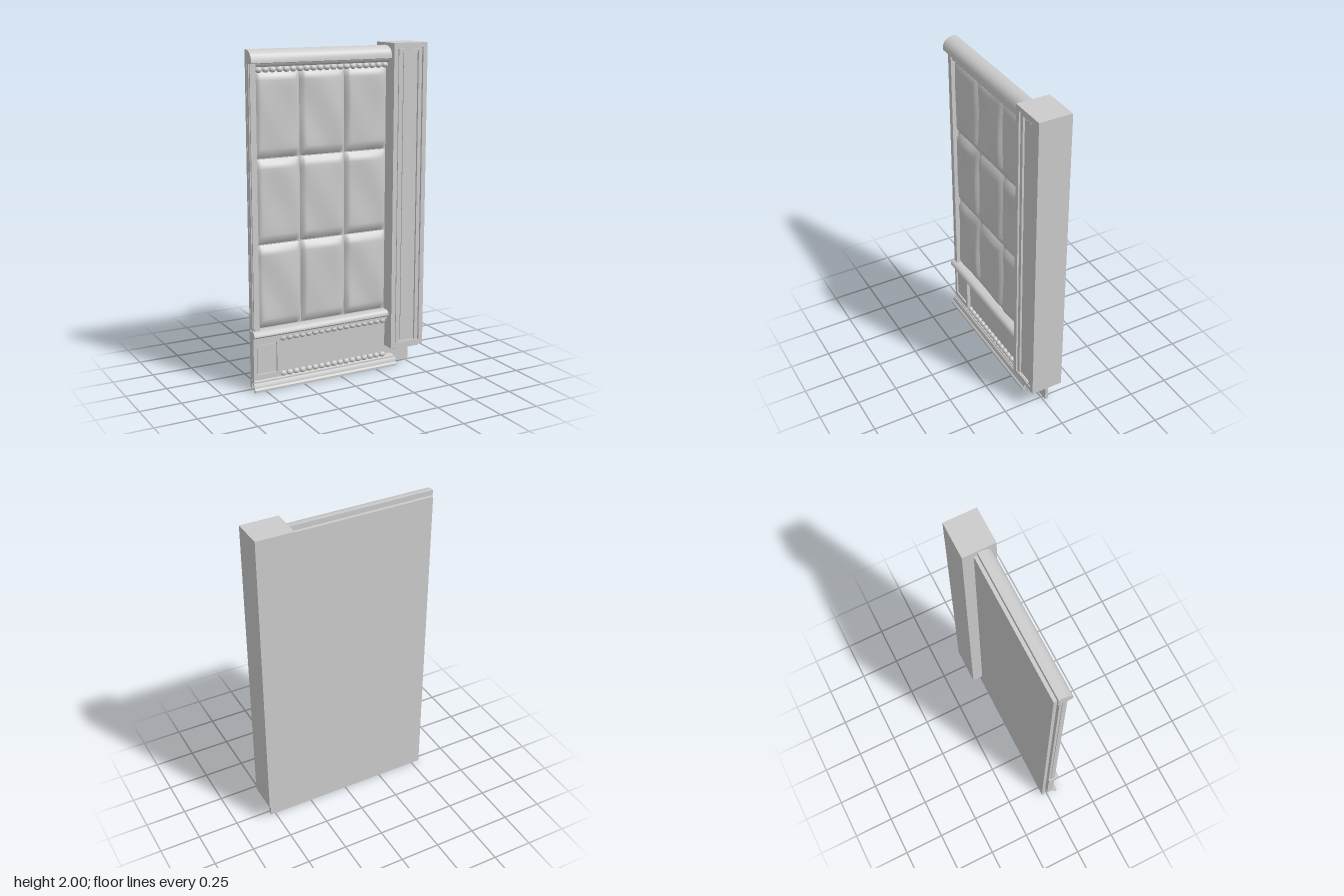
import * as THREE from 'three';
import { toCreasedNormals } from 'three/addons/utils/BufferGeometryUtils.js';

const material = new THREE.MeshStandardMaterial({ color: 0xcccccc, side: THREE.DoubleSide });

export function createModel() {
  const root = new THREE.Group();

  const add = (name, geometry, parent = root) => {
    const mesh = new THREE.Mesh(geometry, material);
    mesh.name = name;
    parent.add(mesh);
    return mesh;
  };
  const group = (name) => {
    const g = new THREE.Group();
    g.name = name;
    root.add(g);
    return g;
  };
  // Box given by its limits on each axis
  const box = (name, x0, x1, y0, y1, z0, z1, parent) => {
    const g = new THREE.BoxGeometry(x1 - x0, y1 - y0, z1 - z0);
    g.translate((x0 + x1) / 2, (y0 + y1) / 2, (z0 + z1) / 2);
    return add(name, g, parent);
  };
  // Moulding: a smoothed [z, y] profile run along x
  const moulding = (name, x0, x1, profile, parent) => {
    const shape = new THREE.Shape(profile.map(([z, y]) => new THREE.Vector2(-z, y)));
    const g = new THREE.ExtrudeGeometry(shape, { depth: x1 - x0, bevelEnabled: false });
    g.rotateY(Math.PI / 2).translate(x0, 0, 0);
    return add(name, toCreasedNormals(g, 0.7), parent);
  };
  // Rectangular frame with a rectangular opening
  const frame = (name, x0, x1, y0, y1, w, z0, z1, parent, h = w) => {
    const rect = (C, a, b, c, d) => {
      const s = new C();
      s.moveTo(a, c).lineTo(b, c).lineTo(b, d).lineTo(a, d).closePath();
      return s;
    };
    const shape = rect(THREE.Shape, x0, x1, y0, y1);
    shape.holes.push(rect(THREE.Path, x0 + w, x1 - w, y0 + h, y1 - h));
    const g = new THREE.ExtrudeGeometry(shape, { depth: z1 - z0, bevelEnabled: false });
    g.translate(0, 0, z0);
    return add(name, g, parent);
  };

  // Flat backing sheet
  box('backPanel', -0.555, 0.53, 0, 1.955, -0.033, -0.013);

  // Square column with a sunken, beaded front
  const column = group('column');
  box('columnCore', 0.335, 0.565, 0.13, 2, -0.1, 0.082, column);
  frame('columnFace', 0.335, 0.565, 0.13, 2, 0.029, 0.082, 0.1, column);
  frame('columnBead', 0.372, 0.532, 0.152, 1.965, 0.024, 0.082, 0.094, column, 0.012);
  box('columnInset', 0.408, 0.502, 0.175, 1.945, 0.082, 0.088, column);
  box('columnFoot', 0.36, 0.54, 0.12, 0.13, 0.07, 0.094, column);

  // Rounded cornice
  moulding('cornice', -0.565, 0.336, [
    [-0.012, 1.985], [0.012, 1.985], [0.034, 1.98], [0.052, 1.97], [0.066, 1.955],
    [0.074, 1.935], [0.075, 1.912], [0.055, 1.908], [-0.012, 1.908],
  ]);
  moulding('corniceFillet', -0.525, 0.336, [
    [-0.012, 1.908], [0.05, 1.908], [0.045, 1.896], [0.035, 1.888], [-0.012, 1.888],
  ]);

  // Side post
  const post = group('sidePost');
  box('postBody', -0.56, -0.525, 0.36, 1.91, 0, 0.045, post);
  box('postLip', -0.565, -0.545, 0.36, 1.91, 0.015, 0.035, post);

  // Middle rail with a rounded nose
  moulding('middleRail', -0.57, 0.336, [
    [0, 0.368], [0.045, 0.368], [0.06, 0.362], [0.07, 0.348], [0.07, 0.338],
    [0.06, 0.33], [0.052, 0.326], [0.052, 0.312], [0, 0.312],
  ]);

  // Nine padded cushions, puffed in the middle and slightly creased
  const cushions = group('cushions');
  const xs = [-0.525, -0.242, 0.05, 0.336];
  const N = 18;
  for (let r = 0; r < 3; r++) for (let c = 0; c < 3; c++) {
    const w = xs[c + 1] - xs[c] - 0.004, h = 0.494;
    const g = new THREE.PlaneGeometry(w, h, N, N);
    const p = g.attributes.position;
    const seed = r * 2.3 + c * 1.7;
    for (let i = 0; i < p.count; i++) {
      const u = (2 * p.getX(i)) / w, v = (2 * p.getY(i)) / h;
      const puff = Math.pow(Math.max(0, (1 - u ** 8) * (1 - v ** 10)), 0.4);
      const crease = 0.005 * Math.sin(2.2 * u + seed) * Math.cos(1.9 * v - seed)
        + 0.003 * Math.sin(3 * (u + v) + seed * 2);
      p.setZ(i, puff * (0.026 + crease));
    }
    g.computeVertexNormals();
    g.translate((xs[c] + xs[c + 1]) / 2, 0.62 + r * 0.5, 0.008);
    add('cushion', g, cushions);
  }
  box('cushionBacking', -0.525, 0.336, 0.36, 1.9, -0.013, 0.008, cushions);

  // Rows of rounded scallops
  const scallops = (name, x0, x1, y, z, n) => {
    const row = group(name);
    const step = (x1 - x0) / n;
    const bead = new THREE.SphereGeometry(1, 12, 8).scale(step * 0.5, 0.017, 0.016);
    for (let i = 0; i < n; i++) {
      add('scallop', bead, row).position.set(x0 + (i + 0.5) * step, y, z);
    }
  };
  scallops('topScallops', -0.523, 0.334, 1.872, 0.03, 20);
  scallops('upperSkirtScallops', -0.39, 0.334, 0.298, 0.03, 17);
  scallops('lowerSkirtScallops', -0.39, 0.334, 0.077, 0.03, 17);

  // Skirt with a framed block at its end
  const skirt = group('skirt');
  box('skirtPanel', -0.56, 0.336, 0.05, 0.32, 0, 0.02, skirt);
  box('endBlock', -0.565, -0.392, 0.066, 0.315, 0, 0.03, skirt);
  frame('endBlockFrame', -0.565, -0.392, 0.066, 0.315, 0.022, 0.03, 0.042, skirt, 0.032);
  box('endBlockInset', -0.536, -0.421, 0.105, 0.276, 0.03, 0.036, skirt);

  // Open stepped base moulding
  const base = group('baseMoulding');
  moulding('baseUpperStrip', -0.565, 0.39, [
    [0, 0.064], [0.036, 0.064], [0.046, 0.058], [0.046, 0.048], [0.036, 0.042], [0, 0.042],
  ], base);
  moulding('baseLowerStrip', -0.57, 0.397, [
    [0.036, 0.052], [0.052, 0.048], [0.058, 0.036], [0.06, 0.022], [0.07, 0.014],
    [0.07, 0], [0.054, 0], [0.052, 0.02], [0.046, 0.036], [0.036, 0.042],
  ], base);

  return root;
}
